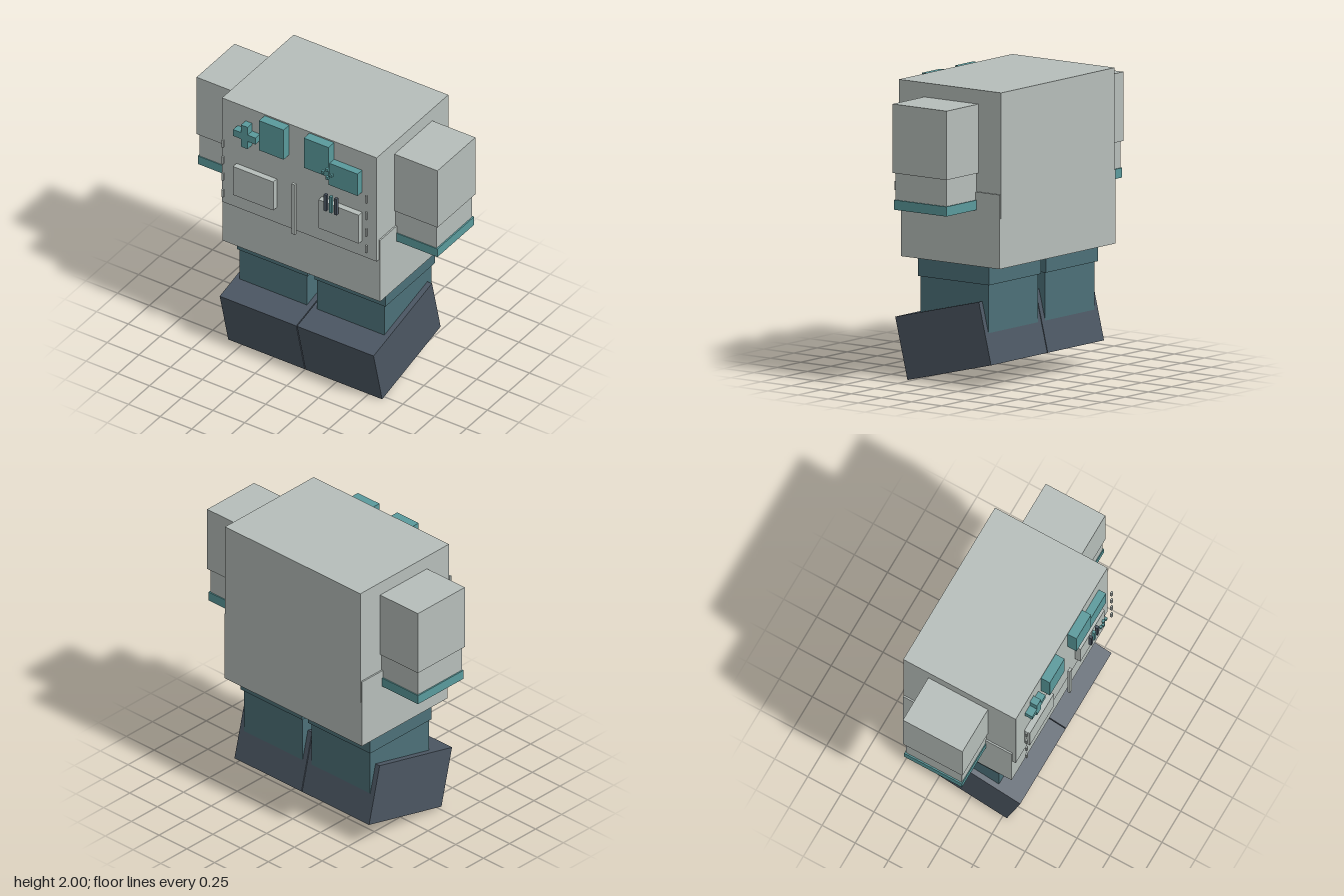
import * as THREE from 'three';

const mat = (name, color) => {
  const m = new THREE.MeshStandardMaterial({ color });
  m.name = name;
  return m;
};

export function createModel() {
  const grey = mat('pale grey', 0xb6beba);
  const teal = mat('teal', 0x5a9a9c);
  const deepTeal = mat('deep teal', 0x4c7078);
  const slate = mat('dark slate', 0x4b5662);
  const model = new THREE.Group();
  model.name = 'blockFigure';

  // Box given by its limits on each axis
  const box = (name, material, [x0, x1], [y0, y1], [z0, z1], parent = model) => {
    const mesh = new THREE.Mesh(new THREE.BoxGeometry(x1 - x0, y1 - y0, z1 - z0), material);
    mesh.position.set((x0 + x1) / 2, (y0 + y1) / 2, (z0 + z1) / 2);
    mesh.name = name;
    parent.add(mesh);
    return mesh;
  };

  // Torso
  box('jacket', grey, [-0.61, 0.61], [1.16, 2], [-0.5, 0.35]);
  box('jacketHem', grey, [-0.621, 0.621], [0.825, 1.32], [-0.496, 0.325]);

  for (const s of [1, -1]) {
    const side = s > 0 ? 'left' : 'right';
    const span = (a, b) => (s > 0 ? [a, b] : [-b, -a]);

    // Arm, with a cuff band around the forearm end
    const arm = new THREE.Group();
    arm.name = side + 'Arm';
    model.add(arm);
    box('upperArm', grey, span(0.6, 0.95), [1.445, 1.905], [-0.31, 0.14], arm);
    box('forearm', grey, span(0.6, 0.935), [1.198, 1.446], [-0.295, 0.127], arm);
    box('cuff', teal, span(0.6, 0.945), [1.2, 1.265], [-0.303, 0.133], arm);

    // Leg and tilted boot
    const leg = new THREE.Group();
    leg.name = side + 'Leg';
    model.add(leg);
    box('thigh', deepTeal, span(0.027, 0.585), [0.7, 0.83], [-0.38, 0.21], leg);
    box('shin', deepTeal, span(0.04, 0.57), [0.33, 0.701], [-0.363, 0.2], leg);
    const boot = box('boot', slate, span(0.003, 0.607), [0.081, 0.505], [-0.373, 0.342], leg);
    boot.rotation.x = 0.242;

    // Chest pocket, shoulder patch and side buttons
    box(side + 'Pocket', grey, span(0.178, 0.496), [1.285, 1.515], [0.34, 0.392]);
    box(side + 'ChestPatch', teal, span(0.08, 0.274), [1.75, 1.99], [0.34, 0.417]);
    for (let i = 0; i < 4; i++) {
      const y = 1.28 + i * 0.134;
      box(side + 'Button', grey, span(0.558, 0.574), [y - 0.03, y + 0.03], [0.4, 0.413]);
    }
  }

  // Cross badge as one extruded outline
  const a = 0.026, b = 0.088;
  const outline = [[-a, b], [-a, a], [-b, a], [-b, -a], [-a, -a], [-a, -b],
    [a, -b], [a, -a], [b, -a], [b, a], [a, a], [a, b]].map(([x, y]) => new THREE.Vector2(x, y));
  const badge = new THREE.Mesh(
    new THREE.ExtrudeGeometry(new THREE.Shape(outline), { depth: 0.062, bevelEnabled: false }), teal);
  badge.position.set(-0.398, 1.8, 0.343);
  badge.name = 'crossBadge';
  model.add(badge);

  // Name patch with floating studs
  box('namePatch', teal, [0.266, 0.495], [1.678, 1.855], [0.34, 0.404]);
  for (const [dx, dy] of [[0, 1], [0, -1], [1, 0], [-1, 0]]) {
    const x = 0.312 + dx * 0.033, y = 1.836 + dy * 0.033;
    box('stud', teal, [x - 0.01, x + 0.01], [y - 0.011, y + 0.011], [0.478, 0.496]);
  }

  // Zip and pens
  box('zip', grey, [-0.015, 0.014], [1.18, 1.585], [0.403, 0.422]);
  [slate, teal, slate].forEach((m, i) => {
    const x = 0.258 + i * 0.041;
    box('pen', m, [x - 0.01, x + 0.01], [1.48, 1.61], [0.413, 0.434]);
  });

  return model;
}
